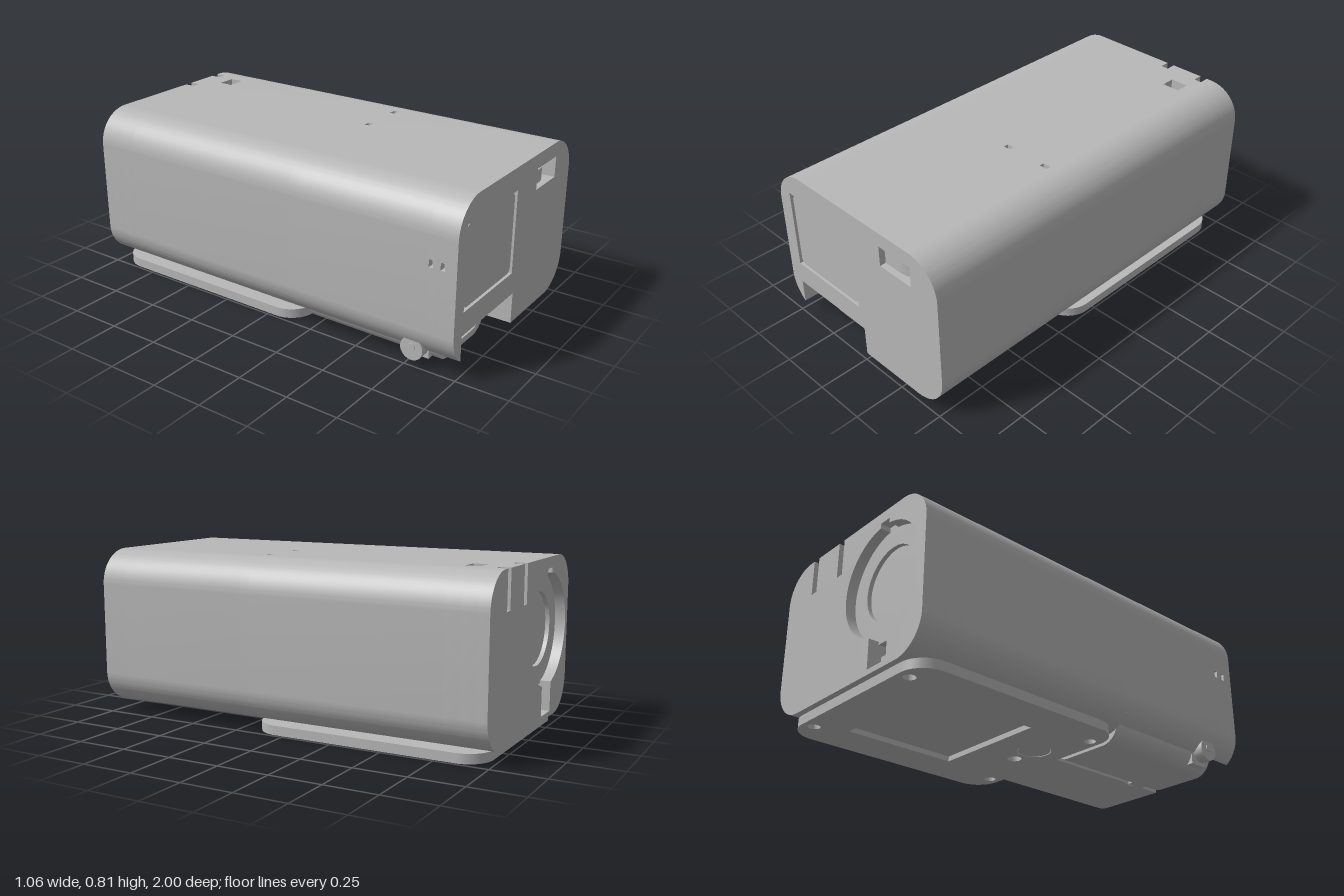
import * as THREE from 'three';
import { toCreasedNormals } from 'three/addons/utils/BufferGeometryUtils.js';

const PI = Math.PI;
const grey = new THREE.MeshStandardMaterial({ color: 0xb8b8b8 });
grey.name = 'plain grey';

const rect = (x0, y0, x1, y1, C = THREE.Path) => {
  const p = new C();
  p.moveTo(x0, y0); p.lineTo(x1, y0); p.lineTo(x1, y1); p.lineTo(x0, y1); p.closePath();
  return p;
};
const circle = (x, y, r, C = THREE.Path) => new C().absarc(x, y, r, 0, PI * 2);
const roundRect = (x0, y0, x1, y1, r, C = THREE.Shape) => {
  const p = new C();
  p.moveTo(x0 + r, y0);
  p.absarc(x1 - r, y0 + r, r, -PI / 2, 0);
  p.absarc(x1 - r, y1 - r, r, 0, PI / 2);
  p.absarc(x0 + r, y1 - r, r, PI / 2, PI);
  p.absarc(x0 + r, y0 + r, r, PI, PI * 1.5);
  return p;
};

// Extrude a shape (with holes) between two z values
function slabGeometry(shape, z0, z1, holes = []) {
  shape.holes.push(...holes);
  const g = new THREE.ExtrudeGeometry(shape, { depth: z1 - z0, bevelEnabled: false, curveSegments: 16 });
  g.translate(0, 0, z0);
  return toCreasedNormals(g, 0.5);
}

// Housing cross-section; top and left cuts open the outline, handleBay removes the lower corner
function section({ top = [], left = [], handleBay = false }) {
  const s = new THREE.Shape(), r = 0.165, cx = 0.365, lo = 0.21, hi = 0.645;
  s.moveTo(handleBay ? 0.01 : -cx, 0.045);
  s.lineTo(cx, 0.045);
  s.absarc(cx, lo, r, -PI / 2, 0);
  s.absarc(cx, hi, r, 0, PI / 2);
  for (const [x1, x0, y] of top) {
    s.lineTo(x1, 0.81); s.lineTo(x1, y); s.lineTo(x0, y); s.lineTo(x0, 0.81);
  }
  s.absarc(-cx, hi, r, PI / 2, PI);
  for (const [y1, y0, x] of left) {
    s.lineTo(-0.53, y1); s.lineTo(x, y1); s.lineTo(x, y0); s.lineTo(-0.53, y0);
  }
  s.absarc(-cx, lo, r, PI, handleBay ? 4.098 : PI * 1.5);
  if (handleBay) { s.lineTo(-0.46, 0.195); s.lineTo(0.01, 0.195); }
  s.closePath();
  return s;
}

// Round rear recess joined to its lower latch pocket and small upper notch
function rearOpening() {
  const p = new THREE.Path(), x = -0.235, y = 0.47, r = 0.265, a = 0.248, b = 0.12;
  p.moveTo(x - 0.065, 0.07);
  p.lineTo(x + 0.065, 0.07);
  p.absarc(x, y, r, -PI / 2 + a, PI / 2 - b);
  p.lineTo(x + 0.032, 0.757);
  p.lineTo(x - 0.032, 0.757);
  p.absarc(x, y, r, PI / 2 + b, PI * 1.5 - a);
  p.closePath();
  return p;
}

export function createModel() {
  const model = new THREE.Group();
  model.name = 'device';
  const add = (name, geometry, parent = model) => {
    const m = new THREE.Mesh(geometry, grey);
    m.name = name;
    parent.add(m);
    return m;
  };
  const box = (name, x0, x1, y0, y1, z0, z1, parent) => add(name,
    new THREE.BoxGeometry(x1 - x0, y1 - y0, z1 - z0)
      .translate((x0 + x1) / 2, (y0 + y1) / 2, (z0 + z1) / 2), parent);

  // Housing, sliced along z wherever a cut begins or ends
  const housing = new THREE.Group();
  housing.name = 'housing';
  model.add(housing);
  const channel = () => rect(-0.26, 0.13, -0.21, 0.165);
  const slot = () => rect(0.175, 0.64, 0.37, 0.74);
  const windowCut = () => rect(-0.455, 0.305, -0.015, 0.70);
  const bay = { handleBay: true };
  const sidePort = { handleBay: true, left: [[0.54, 0.505, -0.5]] };
  const slices = [
    [-1, -0.95, { top: [[0.335, 0.295, 0.63], [0.125, 0.085, 0.63]] }, [rearOpening()]],
    [-0.95, -0.88, {}, [circle(-0.235, 0.47, 0.175), rect(-0.3, 0.07, -0.17, 0.2)]],
    [-0.88, -0.87, {}, [channel()]],
    [-0.87, -0.80, { top: [[0.305, 0.215, 0.74]] }, [channel()]],
    [-0.80, 0.155, {}, [channel()]],
    [0.155, 0.18, { top: [[0.335, 0.295, 0.77], [0.105, 0.07, 0.77]] }, [channel()]],
    [0.18, 0.20, {}, [rect(-0.3, 0.12, -0.17, 0.165)]],
    [0.20, 0.87, bay, []],
    [0.87, 0.89, sidePort, []],
    [0.89, 0.925, bay, [slot()]],
    [0.925, 0.945, sidePort, [slot()]],
    [0.945, 0.96, bay, [slot()]],
    [0.96, 1, bay, [slot(), windowCut()]],
  ];
  for (const [z0, z1, cuts, holes] of slices)
    add('housingSlice', slabGeometry(section(cuts), z0, z1, holes), housing);

  // Front window panel
  add('windowPanel', slabGeometry(roundRect(-0.445, 0.312, -0.022, 0.694, 0.03), 0.955, 0.992));

  // Curved insert in the front slot
  const insert = new THREE.Shape();
  insert.moveTo(0.175, -0.89);
  insert.lineTo(0.37, -0.89);
  insert.lineTo(0.37, -0.885);
  insert.absellipse(0.265, -0.885, 0.105, 0.085, 0, -PI / 2, true);
  insert.lineTo(0.175, -0.97);
  insert.closePath();
  add('slotInsert', slabGeometry(insert, 0.64, 0.705).rotateX(-PI / 2));

  // Rear lens disc and latch
  add('lensDisc', slabGeometry(circle(-0.235, 0.47, 0.18, THREE.Shape), -0.93, -0.89));
  box('rearLatch', -0.26, -0.21, 0.085, 0.125, -0.96, -0.88);

  // Base plate: a pierced lower layer under a layer with screw holes only
  const screws = () => [0.35, -0.35].flatMap(x => [-0.115, 0.915].map(y => circle(x, y, 0.028)));
  const plate = () => roundRect(-0.488, -0.17, 0.487, 0.97, 0.125);
  const base = new THREE.Group();
  base.name = 'basePlate';
  model.add(base);
  add('plateLower', slabGeometry(plate(), 0, 0.025, [...screws(),
    rect(-0.29, 0.2, 0.29, 0.77), circle(0.05, -0.01, 0.034), circle(-0.088, -0.01, 0.08)])
    .rotateX(-PI / 2), base);
  add('plateUpper', slabGeometry(plate(), 0.025, 0.045, screws()).rotateX(-PI / 2), base);
  add('plateButton', slabGeometry(circle(-0.088, -0.01, 0.077, THREE.Shape), 0.002, 0.025)
    .rotateX(-PI / 2), base);

  // Hollow handle in the lower bay, on a cross rod
  const handle = new THREE.Group();
  handle.name = 'handle';
  model.add(handle);
  add('handleTube', slabGeometry(roundRect(-0.445, 0.002, -0.025, 0.194, 0.096), 0.2, 0.88,
    [roundRect(-0.405, 0.033, -0.065, 0.164, 0.065, THREE.Path)]), handle);
  box('handleLug', -0.445, -0.41, 0.025, 0.17, 0.74, 0.84, handle);
  box('handleLug', -0.06, -0.025, 0.025, 0.17, 0.74, 0.84, handle);
  const rod = (name, x0, x1, r, y = 0.097) => add(name,
    new THREE.CylinderGeometry(r, r, x1 - x0, 32).rotateZ(PI / 2)
      .translate((x0 + x1) / 2, y, 0.79), handle);
  rod('handleRod', -0.515, 0.06, 0.018);
  rod('rodKnob', -0.51, -0.458, 0.055, 0.09);
  rod('rodEnd', 0.01, 0.06, 0.055, 0.09);
  return model;
}
